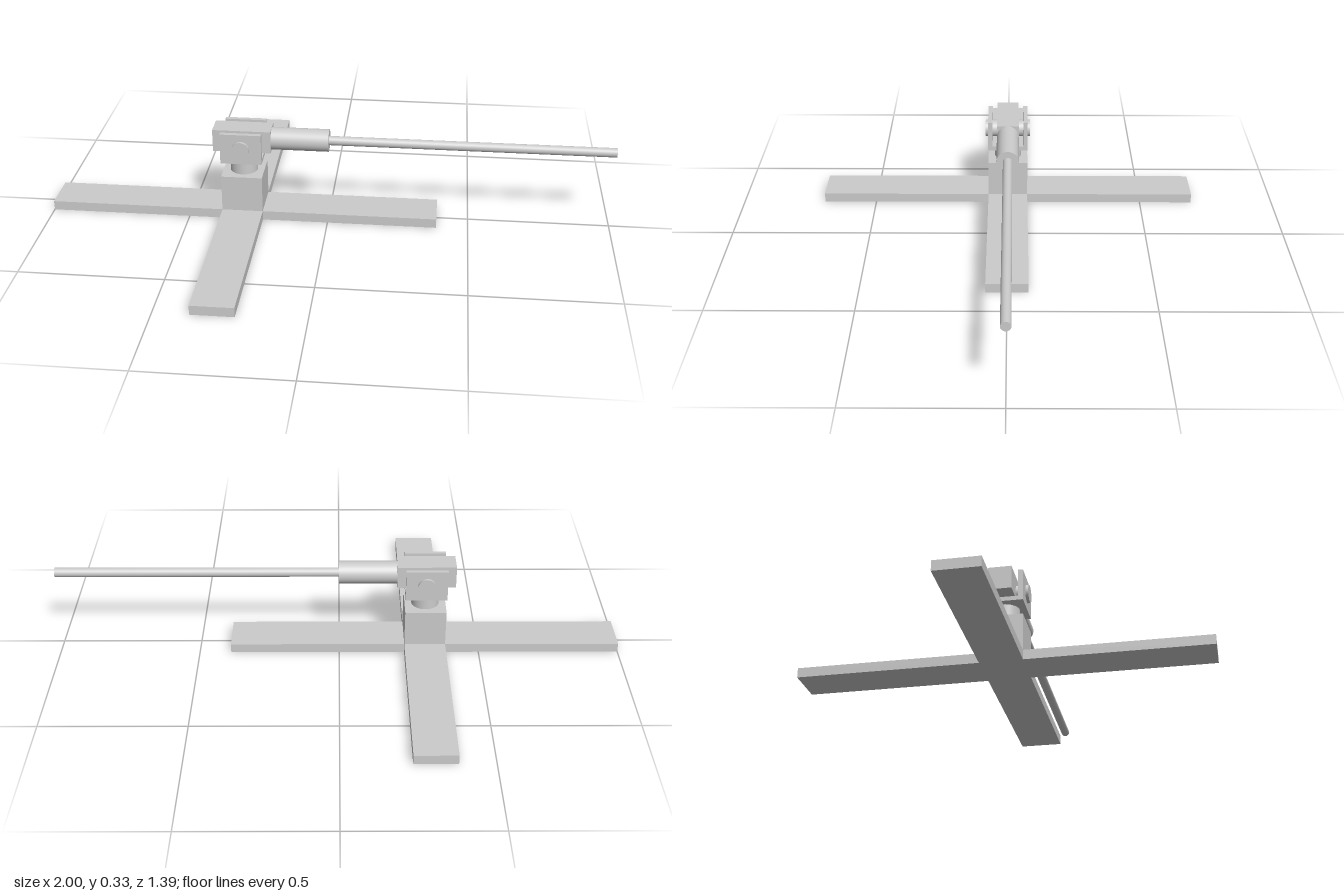
import * as THREE from 'three';

export function createModel() {
  const model = new THREE.Group();
  const material = new THREE.MeshStandardMaterial({ color: 0xcccccc });
  const axisX = -0.306; // vertical axis of the stand
  const half = 0.073; // half width of arms, post and bracket

  const add = (name, geometry, x, y, z = 0) => {
    const mesh = new THREE.Mesh(geometry, material);
    mesh.name = name;
    mesh.position.set(x, y, z);
    model.add(mesh);
    return mesh;
  };
  const cylinder = (r, length) => new THREE.CylinderGeometry(r, r, length, 48);

  // Cross-shaped foot, one solid plate
  const reach = 0.694, s = half;
  const cross = new THREE.Shape([
    [s, s], [s, reach], [-s, reach], [-s, s], [-reach, s], [-reach, -s],
    [-s, -s], [-s, -reach], [s, -reach], [s, -s], [reach, -s], [reach, s],
  ].map(([x, y]) => new THREE.Vector2(x, y)));
  const foot = new THREE.ExtrudeGeometry(cross, { depth: 0.034, bevelEnabled: false });
  foot.rotateX(-Math.PI / 2);
  add('crossFoot', foot, axisX, 0);

  // Square post and round swivel neck
  add('post', new THREE.BoxGeometry(2 * half, 0.133, 2 * half), axisX, 0.1005);
  add('swivelNeck', cylinder(0.049, 0.053), axisX, 0.1935);

  // U-shaped bracket, open at the top
  const inner = 0.057, bottom = 0.22, top = 0.333, floor = 0.235;
  const profile = new THREE.Shape([
    [-half, bottom], [half, bottom], [half, top], [inner, top],
    [inner, floor], [-inner, floor], [-inner, top], [-half, top],
  ].map(([x, y]) => new THREE.Vector2(x, y)));
  const bracket = new THREE.ExtrudeGeometry(profile, { depth: 2 * half, bevelEnabled: false });
  bracket.translate(0, 0, -half).rotateY(Math.PI / 2);
  add('bracket', bracket, axisX, 0);

  // Hinge pin through both bracket walls
  add('hingePin', cylinder(0.031, 0.166), axisX, 0.277).rotation.x = Math.PI / 2;

  // Tilting block with the sleeve and long rod
  const armY = 0.292;
  add('tiltBlock', new THREE.BoxGeometry(0.206, 0.082, 0.08), -0.307, armY);
  add('rodSleeve', cylinder(0.04, 0.204), -0.102, armY).rotation.z = -Math.PI / 2;
  add('rod', cylinder(0.0165, 1), 0.5, armY).rotation.z = -Math.PI / 2;

  return model;
}
